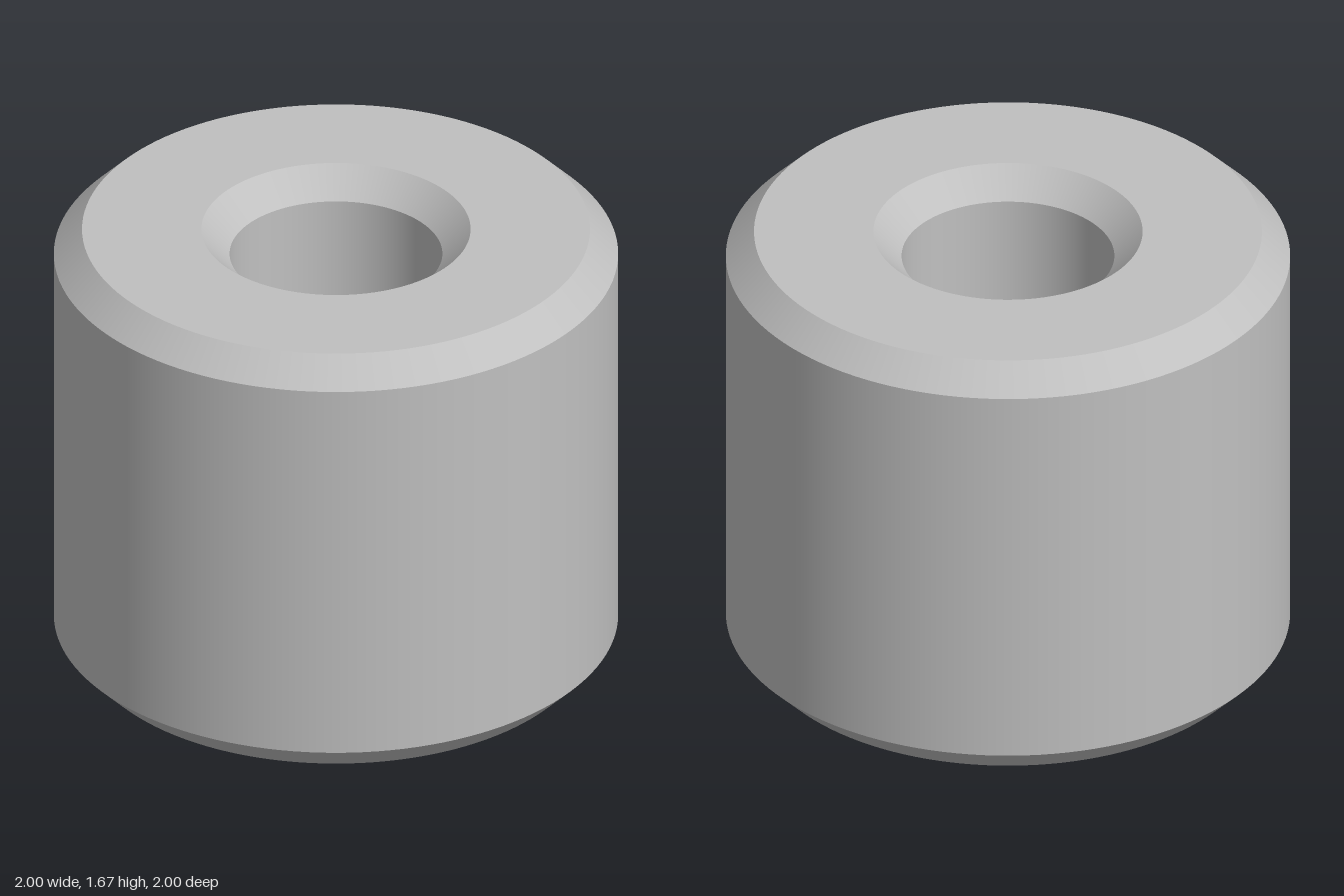
import * as THREE from 'three';

const HEIGHT = 1.667, OUTER = 1, BORE = 0.377, CHAMFER = 0.1, SEGMENTS = 128;

export function createModel() {
  const group = new THREE.Group();
  group.name = 'bushing';
  const steel = new THREE.MeshStandardMaterial({ color: 0xc0c0c0 });
  steel.name = 'plain steel';

  // Closed cross-section, counter-clockwise; each edge sweeps to one smooth face with sharp borders
  const section = [
    ['bottomFace', BORE + CHAMFER, 0],
    ['bottomOuterChamfer', OUTER - CHAMFER, 0],
    ['outerWall', OUTER, CHAMFER],
    ['topOuterChamfer', OUTER, HEIGHT - CHAMFER],
    ['topFace', OUTER - CHAMFER, HEIGHT],
    ['topBoreChamfer', BORE + CHAMFER, HEIGHT],
    ['boreWall', BORE, HEIGHT - CHAMFER],
    ['bottomBoreChamfer', BORE, CHAMFER],
  ];
  section.forEach(([name, r, y], i) => {
    const [, r2, y2] = section[(i + 1) % section.length];
    const edge = [new THREE.Vector2(r, y), new THREE.Vector2(r2, y2)];
    const mesh = new THREE.Mesh(new THREE.LatheGeometry(edge, SEGMENTS), steel);
    mesh.name = name;
    group.add(mesh);
  });
  return group;
}
